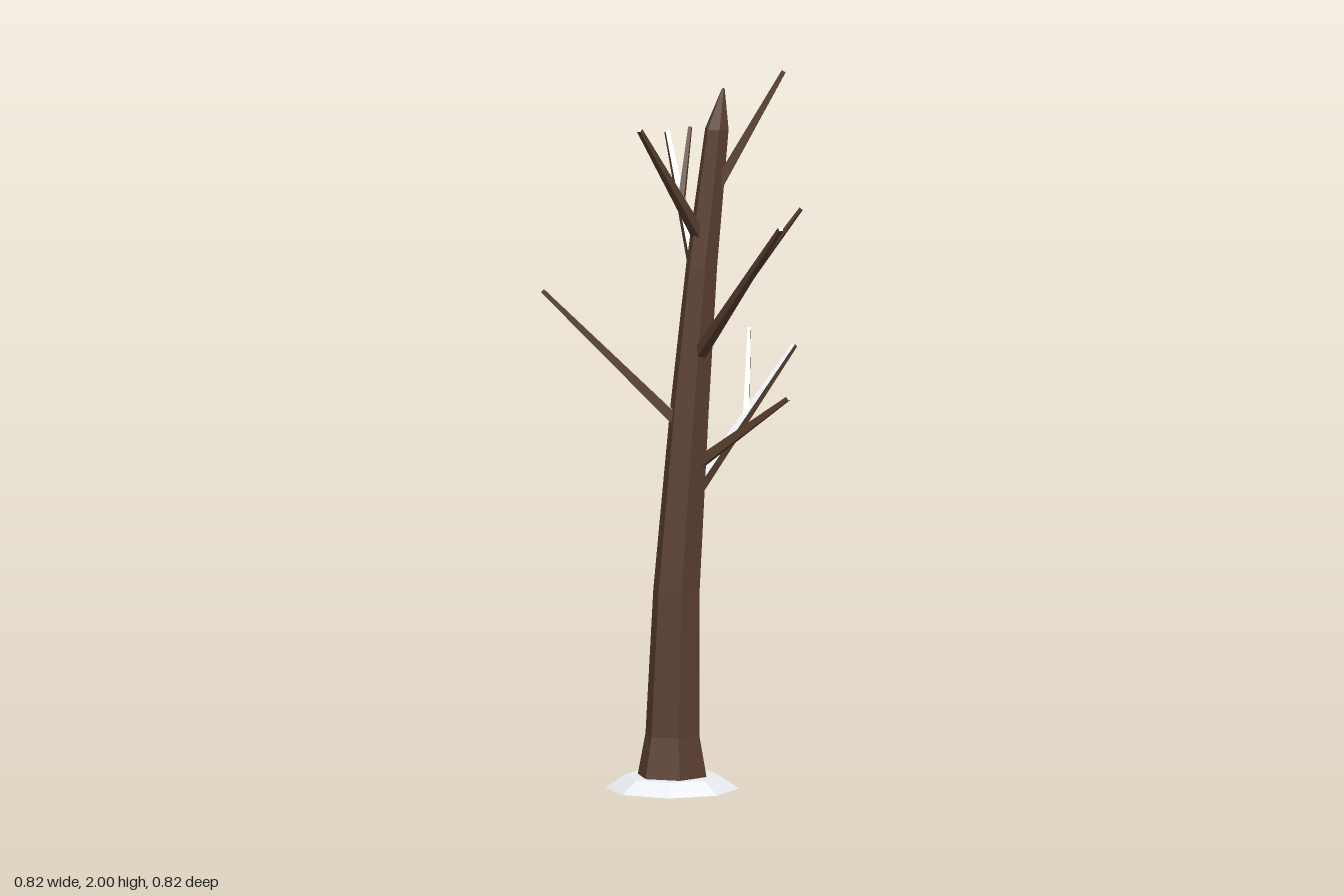
import * as THREE from 'three';

const bark = new THREE.MeshStandardMaterial({ color: 0x5a3f30, flatShading: true, side: THREE.DoubleSide });
const snow = new THREE.MeshStandardMaterial({ color: 0xe9edf2, flatShading: true, side: THREE.DoubleSide });
const V = (a) => new THREE.Vector3(...a);

// Mesh from a list of four-cornered faces (counter-clockwise from outside)
function quadMesh(quads, material, name) {
  const pos = [];
  for (const [a, b, c, d] of quads) for (const p of [a, b, c, a, c, d]) pos.push(p.x, p.y, p.z);
  const geo = new THREE.BufferGeometry();
  geo.setAttribute('position', new THREE.Float32BufferAttribute(pos, 3));
  geo.computeVertexNormals();
  const mesh = new THREE.Mesh(geo, material);
  mesh.name = name;
  return mesh;
}

// Regular ring of corners around (x, z) at height y
function ring(x, y, z, r, sides) {
  return Array.from({ length: sides }, (_, i) => {
    const a = -Math.PI / 18 + (i / sides) * Math.PI * 2;
    return new THREE.Vector3(x + r * Math.cos(a), y, z + r * Math.sin(a));
  });
}

function loft(rings) {
  const quads = [];
  for (let k = 0; k < rings.length - 1; k++) {
    const lo = rings[k], hi = rings[k + 1], n = lo.length;
    for (let i = 0; i < n; i++) quads.push([lo[i], hi[i], hi[(i + 1) % n], lo[(i + 1) % n]]);
  }
  return quads;
}

// Square tapering branch; faces that look upward carry snow
function branch(name, from, to, r0, r1) {
  const a = V(from), b = V(to);
  const dir = b.clone().sub(a).normalize();
  const side = dir.clone().cross(new THREE.Vector3(0, 1, 0)).normalize();
  const up = side.clone().cross(dir);
  const square = (c, r) => [[1, 1], [-1, 1], [-1, -1], [1, -1]].map(([s, u]) =>
    c.clone().addScaledVector(side, s * r).addScaledVector(up, u * r));
  const lo = square(a, r0), hi = square(b, r1);
  const quads = [0, 1, 2, 3].map((i) => [lo[i], hi[i], hi[(i + 1) % 4], lo[(i + 1) % 4]]);
  quads.push([hi[3], hi[2], hi[1], hi[0]]);
  const brown = [], white = [];
  for (const q of quads) {
    const n = q[1].clone().sub(q[0]).cross(q[2].clone().sub(q[0])).normalize();
    (n.y > 0.55 ? white : brown).push(q);
  }
  const group = new THREE.Group();
  group.name = name;
  group.add(quadMesh(brown, bark, name + 'Bark'));
  if (white.length) group.add(quadMesh(white, snow, name + 'Snow'));
  return group;
}

export function createModel() {
  const tree = new THREE.Group();
  tree.name = 'bareTree';

  // Leaning six-sided trunk, flared at the foot, pointed at the top: x, y, radius
  const trunk = [
    [-0.101, 0, 0.106], [-0.1, 0.15, 0.078], [-0.087, 0.55, 0.067], [-0.045, 1.05, 0.056],
    [-0.005, 1.45, 0.045], [0.045, 1.83, 0.034], [0.066, 1.94, 0.004],
  ];
  const rings = trunk.map(([x, y, r]) => ring(x, y, -0.115, r, 6));
  const tip = new Array(6).fill(new THREE.Vector3(0.066, 1.942, -0.115));
  tree.add(quadMesh(loft([...rings, tip]), bark, 'trunk'));

  // Low snow mound around the foot, open underneath
  const rim = ring(-0.101, 0, -0.115, 0.185, 8);
  const top = ring(-0.101, 0.035, -0.115, 0.132, 8);
  const middle = new Array(8).fill(new THREE.Vector3(-0.101, 0.035, -0.115));
  tree.add(quadMesh(loft([rim, top, middle]), snow, 'snowMound'));

  // Main branches
  const mains = [
    [[-0.03, 0.81, -0.122], [0.405, 1.17, -0.285]],
    [[-0.03, 0.91, -0.08], [0.1, 1.11, 0.167]],
    [[-0.085, 1.03, -0.133], [-0.402, 1.39, -0.309]],
    [[-0.032, 1.205, -0.09], [-0.074, 1.63, 0.403]],
    [[-0.005, 1.395, -0.135], [0.064, 1.78, -0.403]],
    [[-0.01, 1.53, -0.115], [-0.266, 1.865, -0.022]],
    [[0.03, 1.65, -0.11], [0.183, 1.997, 0.013]],
  ];
  mains.forEach(([from, to], i) => tree.add(branch('branch' + (i + 1), from, to, 0.0145, 0.006)));

  // Twigs growing from the main branches
  const twigs = [
    [[0.2, 1.0, -0.209], [0.302, 1.218, -0.355]],
    [[-0.054, 1.424, 0.165], [0.036, 1.67, 0.336]],
    [[0.03, 1.6, -0.276], [0.098, 1.8, -0.337]],
  ];
  twigs.forEach(([from, to], i) => tree.add(branch('twig' + (i + 1), from, to, 0.0085, 0.0045)));
  return tree;
}
